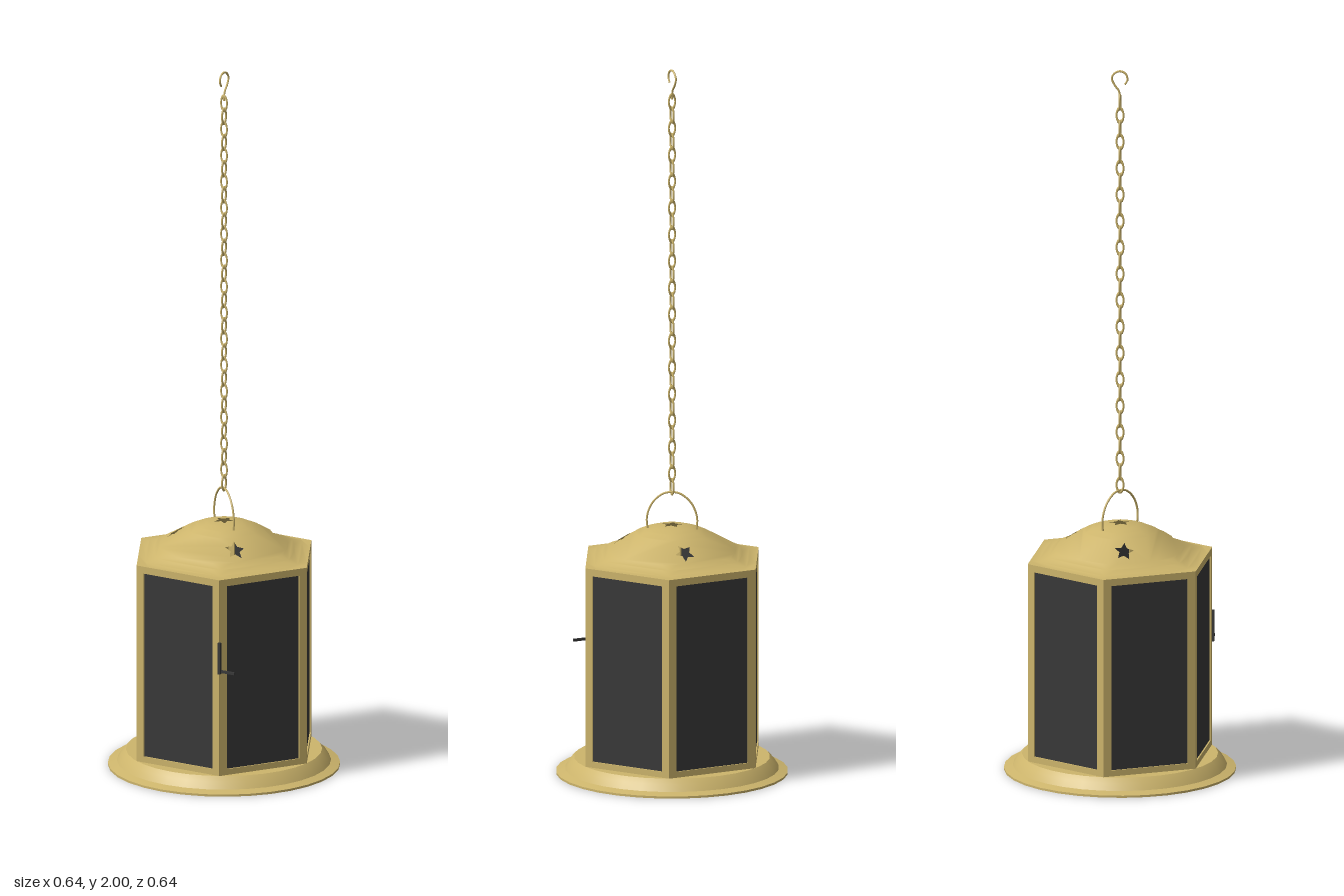
import * as THREE from 'three';
import { toCreasedNormals } from 'three/addons/utils/BufferGeometryUtils.js';

const APOTHEM = 0.236, SIDE = 0.272, EAVE = 0.61, FLOOR = 0.045;

const brass = new THREE.MeshStandardMaterial({ color: 0xcdb56c, side: THREE.DoubleSide });
brass.name = 'brass';
const glass = new THREE.MeshStandardMaterial({ color: 0x383838, side: THREE.DoubleSide });
glass.name = 'dark glass';

function add(parent, name, geometry, material, x = 0, y = 0, z = 0) {
  const m = new THREE.Mesh(geometry, material);
  m.name = name;
  m.position.set(x, y, z);
  parent.add(m);
  return m;
}

function wire(points, radius, segments = 24) {
  const curve = new THREE.CatmullRomCurve3(points.map(p => new THREE.Vector3(...p)));
  return new THREE.TubeGeometry(curve, segments, radius, 6);
}

// Roof plan: round near the crown, hexagonal at the eaves (s runs 0 to 1)
function roofRadius(s, angle) {
  const step = Math.PI / 3;
  const a = (((angle % step) + step) % step) - step / 2;
  return s * THREE.MathUtils.lerp(0.255, APOTHEM / Math.cos(a), s * s);
}

function roofHeight(x, z) {
  const r = Math.hypot(x, z), angle = Math.atan2(z, x);
  let lo = 0, hi = 1.2;
  for (let i = 0; i < 30; i++) {
    const mid = (lo + hi) / 2;
    if (roofRadius(mid, angle) < r) lo = mid; else hi = mid;
  }
  const s = Math.min(lo, 1);
  return EAVE + 0.0475 * (1 + Math.cos(Math.PI * Math.pow(s, 1.22)));
}

// Outline of the roof at s, in shape coordinates (x, -z)
function roofOutline(s) {
  const pts = [];
  for (let i = 0; i < 48; i++) {
    const a = i / 48 * Math.PI * 2, r = roofRadius(s, a);
    pts.push(new THREE.Vector2(Math.cos(a) * r, Math.sin(a) * r));
  }
  return pts;
}

function starOutline(x, z, radius, turn) {
  const pts = [];
  for (let i = 0; i < 10; i++) {
    const a = turn + i * Math.PI / 5, r = i % 2 ? radius * 0.48 : radius;
    pts.push(new THREE.Vector2(x + Math.cos(a) * r, -z + Math.sin(a) * r));
  }
  return pts;
}

// One flat ring of the roof with holes, lifted onto the dome
function roofRing(inner, outer, stars) {
  const shape = new THREE.Shape(roofOutline(outer));
  if (inner > 0) shape.holes.push(new THREE.Path(roofOutline(inner)));
  stars.forEach(s => shape.holes.push(new THREE.Path(starOutline(...s))));
  const g = new THREE.ShapeGeometry(shape);
  g.rotateX(-Math.PI / 2);
  const p = g.attributes.position, e = 0.006, n = new THREE.Vector3();
  for (let i = 0; i < p.count; i++) {
    const x = p.getX(i), z = p.getZ(i);
    p.setY(i, roofHeight(x, z));
    n.set(roofHeight(x - e, z) - roofHeight(x + e, z), 2 * e,
      roofHeight(x, z - e) - roofHeight(x, z + e)).normalize();
    g.attributes.normal.setXYZ(i, n.x, n.y, n.z);
  }
  return g;
}

function rectangle(Type, w, y0, y1) {
  return new Type([[-w, y0], [w, y0], [w, y1], [-w, y1]].map(p => new THREE.Vector2(...p)));
}

export function createModel() {
  const model = new THREE.Group();
  model.name = 'hangingLantern';

  // Flared round base with a recessed underside and a small boss
  const profile = [[0, 0.01], [0.27, 0.01], [0.3, 0.004], [0.322, 0], [0.322, 0.006],
    [0.297, 0.013], [0.285, 0.032], [0.272, FLOOR], [0, FLOOR]];
  const base = new THREE.LatheGeometry(profile.map(p => new THREE.Vector2(...p)), 32);
  add(model, 'base', toCreasedNormals(base, 0.4), brass);
  add(model, 'baseBoss', new THREE.CylinderGeometry(0.025, 0.025, 0.006, 16), brass, 0, 0.008, 0);
  add(model, 'baseScrew', new THREE.CylinderGeometry(0.008, 0.008, 0.004, 10), brass, 0, 0.004, 0);

  // Six framed panes around the body
  const frame = rectangle(THREE.Shape, SIDE / 2, FLOOR, EAVE);
  frame.holes.push(rectangle(THREE.Path, 0.113, 0.062, 0.59));
  const frameGeometry = new THREE.ExtrudeGeometry(frame, { depth: 0.008, bevelEnabled: false });
  const paneGeometry = new THREE.PlaneGeometry(0.228, 0.53);
  for (let i = 0; i < 6; i++) {
    const side = new THREE.Group();
    side.name = 'bodySide';
    side.rotation.y = i * Math.PI / 3;
    add(side, 'sideFrame', frameGeometry, brass, 0, 0, APOTHEM - 0.008);
    add(side, 'pane', paneGeometry, glass, 0, 0.326, APOTHEM - 0.004);
    model.add(side);
  }

  // Domed roof pierced by stars
  const roof = new THREE.Group();
  roof.name = 'roof';
  const bounds = [0, 0.2, 0.3, 0.4, 0.72, 0.8, 0.9, 1];
  const stars = {
    0: [[0, 0, 0.03, Math.PI / 2]],
    3: [[0.035, -0.14, 0.028, 1.2], [-0.137, 0.035, 0.028, 1.4], [0.1, 0.1, 0.028, 1.0]],
  };
  for (let i = 0; i < bounds.length - 1; i++) {
    add(roof, 'roofRing', roofRing(bounds[i], bounds[i + 1], stars[i] || []), brass);
  }
  model.add(roof);

  // Wire bail
  const bail = add(model, 'bail', wire([[-0.068, 0.69, 0], [-0.07, 0.725, 0], [-0.055, 0.765, 0],
    [-0.025, 0.792, 0], [0, 0.797, 0], [0.025, 0.792, 0], [0.055, 0.765, 0], [0.07, 0.725, 0],
    [0.068, 0.69, 0]], 0.003, 32), brass);
  bail.rotation.y = -0.6;

  // Chain of alternating links
  const link = new THREE.TorusGeometry(0.01, 0.0028, 6, 14);
  link.scale(1, 2, 1);
  const chain = new THREE.Group();
  chain.name = 'chain';
  for (let i = 0; i < 30; i++) {
    const l = add(chain, 'chainLink', link, brass, 0, 0.812 + i * 0.0378, 0);
    l.rotation.y = i % 2 ? 0 : Math.PI / 2;
  }
  model.add(chain);

  // Hook at the top
  add(model, 'hook', wire([[0, 1.915, 0], [0, 1.94, -0.003], [0, 1.958, -0.016], [0, 1.978, -0.023],
    [0, 1.993, -0.012], [0, 1.997, 0.002], [0, 1.99, 0.016], [0, 1.973, 0.021],
    [0, 1.96, 0.014]], 0.003), brass);

  // Door latch on the front corner
  const latch = new THREE.Group();
  latch.name = 'doorLatch';
  add(latch, 'latchPlate', new THREE.BoxGeometry(0.008, 0.09, 0.008), glass, 0.137, 0.385, 0.237);
  add(latch, 'latchLever', new THREE.BoxGeometry(0.05, 0.007, 0.006), glass, 0.16, 0.347, 0.233);
  model.add(latch);

  return model;
}
